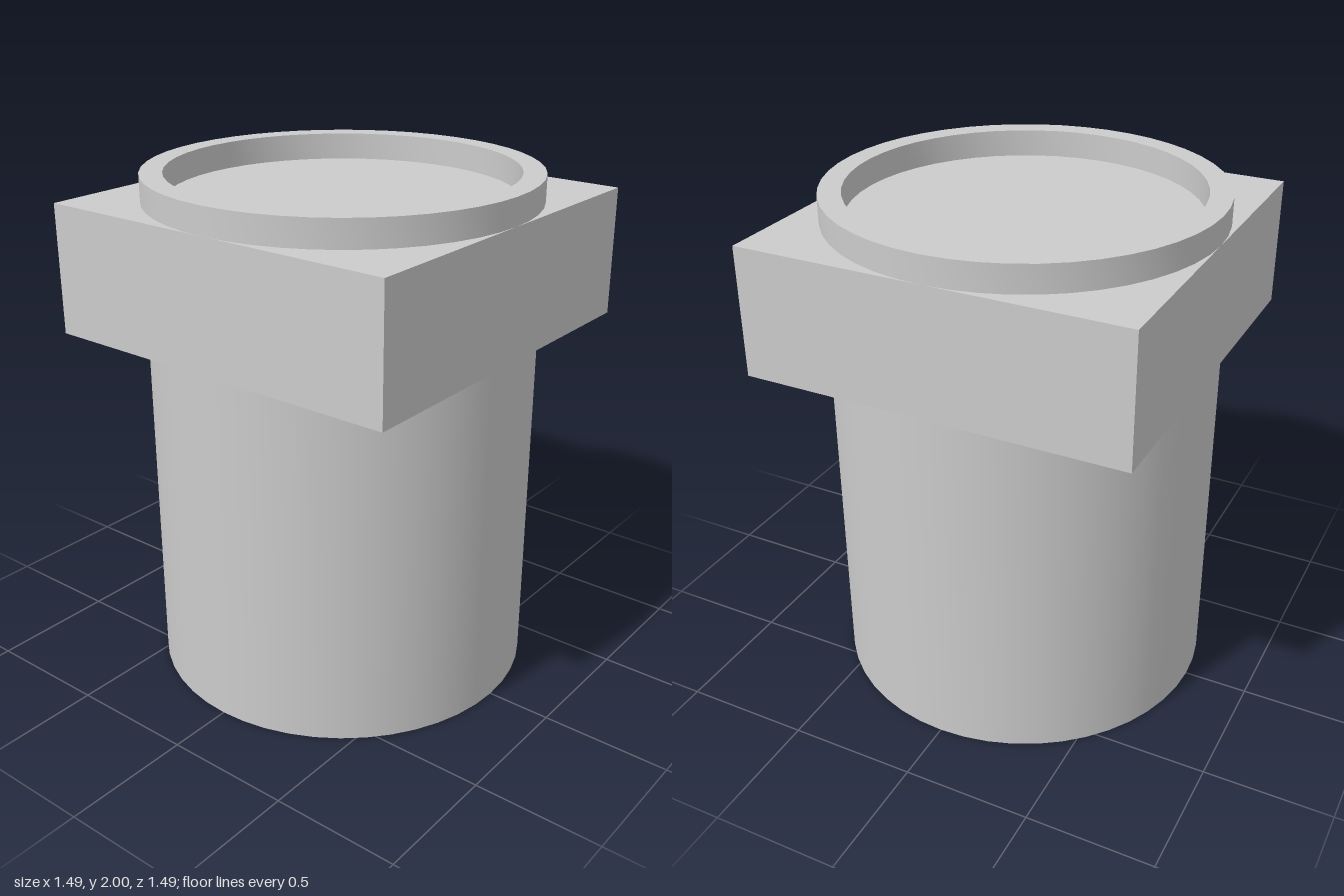
import * as THREE from 'three';
import { toCreasedNormals } from 'three/addons/utils/BufferGeometryUtils.js';

const RADIUS = 0.747, INNER = 0.661, SEGMENTS = 48;
const BODY_TOP = 1.396, BLOCK_TOP = 1.896, TOP = 2;

export function createModel() {
  const group = new THREE.Group();
  group.name = 'flangedPlug';
  const material = new THREE.MeshStandardMaterial({ color: 0xcccccc });

  const add = (name, geometry, y) => {
    const mesh = new THREE.Mesh(geometry, material);
    mesh.name = name;
    mesh.position.y = y;
    group.add(mesh);
  };

  // Round shaft
  add('shaft', new THREE.CylinderGeometry(RADIUS, RADIUS, BODY_TOP, SEGMENTS), BODY_TOP / 2);

  // Square block, as wide as the shaft
  const blockHeight = BLOCK_TOP - BODY_TOP;
  add('squareBlock', new THREE.BoxGeometry(RADIUS * 2, blockHeight, RADIUS * 2), BODY_TOP + blockHeight / 2);

  // Raised ring around the top face: outer wall, flat lip, inner wall
  const rimHeight = TOP - BLOCK_TOP;
  const profile = [[RADIUS, 0], [RADIUS, rimHeight], [INNER, rimHeight], [INNER, 0]]
    .map(([r, y]) => new THREE.Vector2(r, y));
  add('topRim', toCreasedNormals(new THREE.LatheGeometry(profile, SEGMENTS), Math.PI / 6), BLOCK_TOP);

  return group;
}
